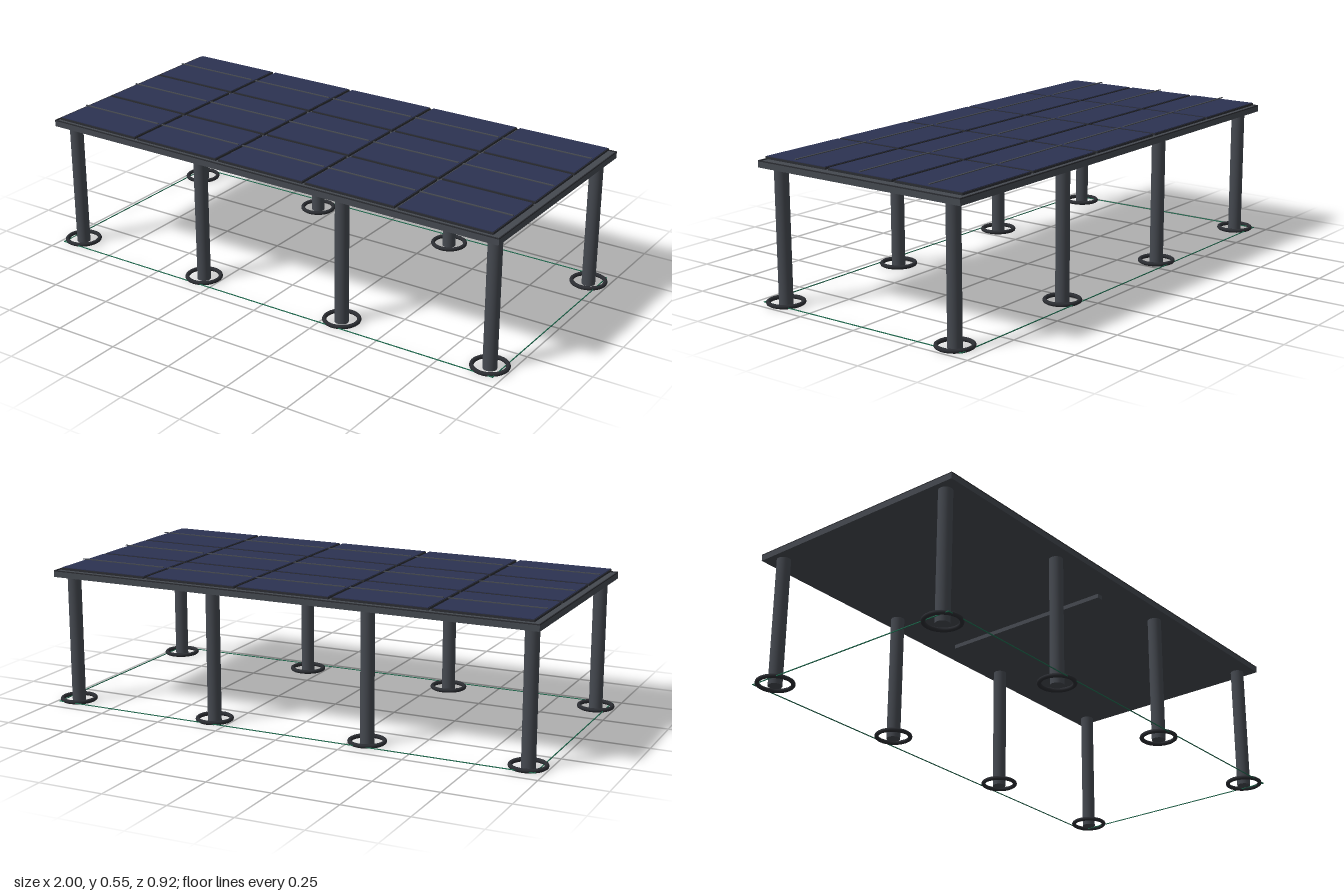
import * as THREE from 'three';

const mat = (name, color) => {
  const m = new THREE.MeshStandardMaterial({ color });
  m.name = name;
  return m;
};

export function createModel() {
  const steel = mat('steel grey', 0x454950);
  const dark = mat('dark metal', 0x2b2d32);
  const cell = mat('solar blue', 0x2c3252);
  const green = mat('guide green', 0x1f6b4f);

  const model = new THREE.Group();
  model.name = 'solarCanopy';

  const add = (name, geometry, material, x, y, z, parent = model) => {
    const mesh = new THREE.Mesh(geometry, material);
    mesh.name = name;
    mesh.position.set(x, y, z);
    parent.add(mesh);
    return mesh;
  };
  const box = (w, h, d) => new THREE.BoxGeometry(w, h, d);

  // Four thin bars around the canopy outline at height y
  const outline = (name, material, y, t) => {
    for (const s of [-1, 1]) {
      add(name, box(1.95, t, t), material, 0, y, s * 0.455);
      add(name, box(t, t, 0.91), material, s * 0.973, y, 0);
    }
  };

  // Posts with a ring around each foot
  const postGeo = new THREE.CylinderGeometry(0.026, 0.026, 0.504, 24);
  const ringGeo = new THREE.TorusGeometry(0.064, 0.008, 10, 40).rotateX(Math.PI / 2);
  for (const x of [-0.928, -0.316, 0.316, 0.928]) {
    for (const z of [-0.39, 0.39]) {
      add('post', postGeo, steel, x, 0.252, z);
      add('footRing', ringGeo, dark, x, 0.01, z);
    }
  }

  // Roof slab, its raised edge and the ground outline
  add('roofSlab', box(1.95, 0.022, 0.914), steel, 0, 0.515, 0);
  outline('roofEdge', dark, 0.528, 0.004);
  outline('groundLine', green, 0.008, 0.003);

  // Rail hung under the middle of the roof
  add('ceilingRail', box(0.024, 0.016, 0.714), steel, 0, 0.492, 0);

  // Grid of solar panels, each with a divider floating above its centre
  for (let i = -2; i <= 2; i++) {
    for (let j = -1; j <= 1; j++) {
      const panel = new THREE.Group();
      panel.name = 'solarPanel';
      panel.position.set(i * 0.3825 - 0.002, 0, j * 0.302 + 0.001);
      add('panelFrame', box(0.37, 0.008, 0.288), dark, 0, 0.536, 0, panel);
      add('panelCells', box(0.364, 0.003, 0.282), cell, 0, 0.5405, 0, panel);
      add('panelDivider', box(0.364, 0.003, 0.007), steel, 0, 0.548, 0, panel);
      model.add(panel);
    }
  }
  return model;
}
